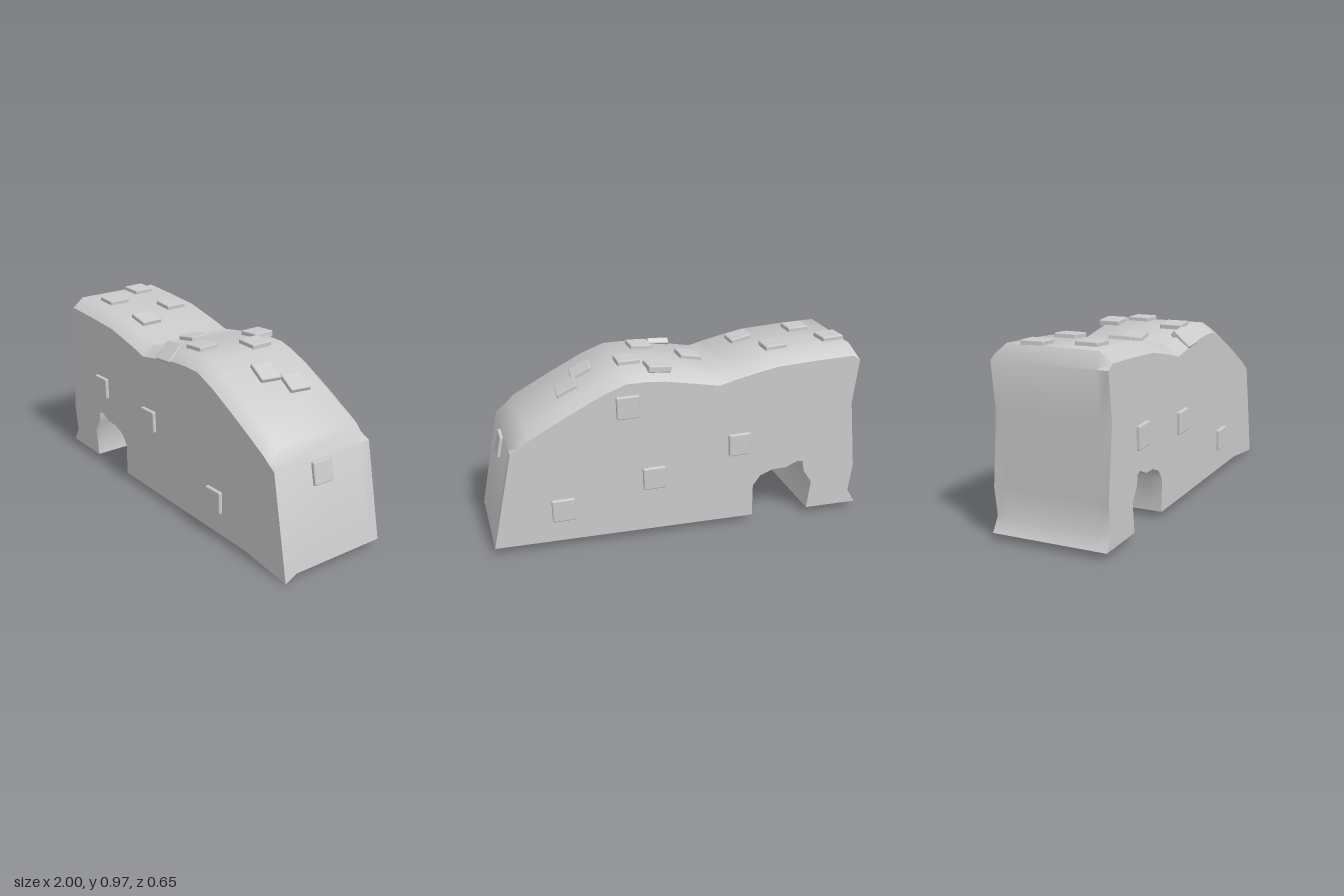
import * as THREE from 'three';
import { toCreasedNormals } from 'three/addons/utils/BufferGeometryUtils.js';
import { RoundedBoxGeometry } from 'three/addons/geometries/RoundedBoxGeometry.js';

const HALF = 0.305, SHOULDER = 0.24;

// Ridge line, left to right, as [x, y]
const ridge = [
  [-0.93, 0.948], [-0.73, 0.94], [-0.5, 0.925], [-0.38, 0.9], [-0.27, 0.875], [-0.19, 0.853],
  [-0.05, 0.878], [0.1, 0.903], [0.2, 0.91], [0.3, 0.908], [0.42, 0.862], [0.6, 0.77], [0.8, 0.66],
  [0.84, 0.62], [0.895, 0.545],
];
const endFace = [[-1, 0.035], [-0.955, 0.11], [-0.977, 0.26], [-0.94, 0.63], [-0.97, 0.87]];
const arch = [
  [-0.39, 0.035], [-0.39, 0.21], [-0.43, 0.265], [-0.5, 0.293], [-0.575, 0.295], [-0.645, 0.325],
  [-0.675, 0.318], [-0.682, 0.262], [-0.73, 0.19], [-0.71, 0.035],
];

// Height and slope angle of the ridge at x
function ridgeAt(x) {
  const i = Math.max(1, ridge.findIndex(p => p[0] >= x));
  const [x0, y0] = ridge[i - 1], [x1, y1] = ridge[i];
  const k = (y1 - y0) / (x1 - x0);
  return { y: y0 + k * (x - x0), angle: Math.atan(k) };
}

// Side profile pulled through four rings; the outer rings drop along the ridge
function bodyGeometry() {
  const outline = [...endFace, ...ridge, [1, 0.035], [0.7, 0.035], ...arch];
  const shape = new THREE.Shape(outline.map(p => new THREE.Vector2(...p)));
  const geo = new THREE.ExtrudeGeometry(shape, { depth: 3, steps: 3, bevelEnabled: false });
  const rings = [-HALF, -SHOULDER, SHOULDER, HALF];
  const pos = geo.attributes.position;
  for (let i = 0; i < pos.count; i++) {
    const x = pos.getX(i), y = pos.getY(i), ring = Math.round(pos.getZ(i));
    pos.setZ(i, rings[ring]);
    const outer = ring === 0 || ring === 3;
    if (outer && (y > 0.88 || (x > -0.5 && y > 0.58))) pos.setY(i, y - 0.052);
    // The front toe reaches down to the ground
    if (ring === 3 && x > 0.99) pos.setY(i, 0);
  }
  return toCreasedNormals(geo, 0.75);
}

export function createModel() {
  const model = new THREE.Group();
  const material = new THREE.MeshStandardMaterial({ color: 0xcccccc });

  const body = new THREE.Mesh(bodyGeometry(), material);
  body.name = 'rockBody';
  model.add(body);

  // Thin square slabs, half sunk in the surface, thin along their local y
  const slab = new RoundedBoxGeometry(0.12, 0.036, 0.12, 1, 0.007);
  function addStone(name, x, y, z, rx, ry, rz) {
    const stone = new THREE.Mesh(slab, material);
    stone.name = name;
    stone.position.set(x, y, z);
    stone.rotation.set(rx, ry, rz, 'ZXY');
    model.add(stone);
  }

  // Slabs lying on the ridge: x, z, spin
  [
    [-0.87, -0.11, 0.05], [-0.545, -0.12, 0], [-0.77, 0.12, 0], [-0.435, 0.12, 0.02],
    [-0.115, 0.02, 0.03], [0.12, -0.22, 0.03], [0.25, -0.1, 0], [0.125, 0.145, 0.03],
    [0.47, 0.01, -0.1], [0.565, -0.1, -0.1],
  ].forEach(([x, z, spin]) => {
    const { y, angle } = ridgeAt(x);
    addStone('topStone', x, y + 0.004, z, 0, spin, angle);
  });
  addStone('shoulderStone', 0, 0.865, 0.258, 0.75, 0.03, 0.05);

  // Slabs on the front and back walls: x, y
  [[-0.625, 0.497], [-0.14, 0.455], [0.445, 0.217]].forEach(([x, y]) =>
    addStone('frontStone', x, y, HALF, Math.PI / 2, 0.03, 0));
  [[-0.305, 0.465], [0.16, 0.33], [0.64, 0.21], [0.295, 0.735]].forEach(([x, y]) =>
    addStone('backStone', x, y, -HALF, -Math.PI / 2, 0.03, 0));

  // Slab on the sloping end
  addStone('endStone', 0.908, 0.475, 0.02, 0, 0, -1.38);

  return model;
}
